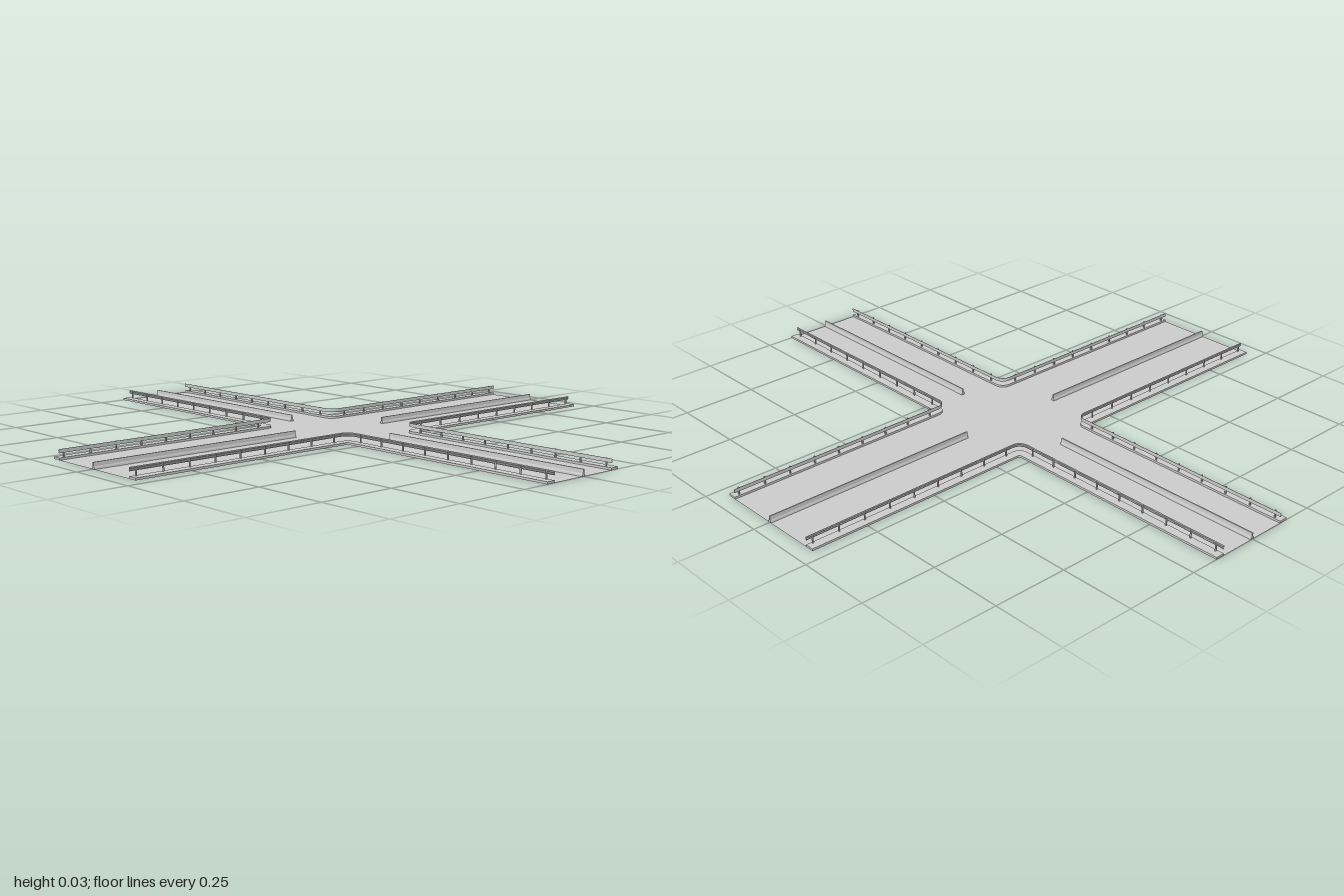
import * as THREE from 'three';

const grey = new THREE.MeshStandardMaterial({ color: 0xcccccc, side: THREE.DoubleSide, flatShading: true });
const X = 0.945, Z = 1;            // arm lengths
const HX = 0.155, HZ = 0.207;      // half widths: z arms, x arms
const KERB = 0.03, KERB_H = 0.007; // kerb width and height

function mesh(name, geometry) {
  const m = new THREE.Mesh(geometry, grey);
  m.name = name;
  return m;
}

// Path along one quadrant at a given inset from the outer edge; points are (x, z)
function edgePath(inset, r) {
  const x0 = HX - inset, z0 = HZ - inset;
  const pts = [new THREE.Vector2(X, z0)];
  for (let i = 0; i <= 6; i++) {
    const a = (i / 6) * Math.PI / 2;
    pts.push(new THREE.Vector2(x0 + r - r * Math.sin(a), z0 + r - r * Math.cos(a)));
  }
  pts.push(new THREE.Vector2(x0, Z));
  return pts;
}

// Sweeps a cross-section of [offset, y] pairs along a flat path
function sweep(path, section) {
  const pos = [], index = [], n = section.length;
  path.forEach((p, i) => {
    const a = path[Math.max(i - 1, 0)], b = path[Math.min(i + 1, path.length - 1)];
    const t = b.clone().sub(a).normalize();
    section.forEach(([o, y]) => pos.push(p.x - t.y * o, y, p.y + t.x * o));
    if (i === 0) return;
    for (let j = 0; j < n - 1; j++) {
      const k = (i - 1) * n + j;
      index.push(k, k + 1, k + n, k + 1, k + n + 1, k + n);
    }
  });
  const g = new THREE.BufferGeometry();
  g.setAttribute('position', new THREE.Float32BufferAttribute(pos, 3));
  g.setIndex(index);
  g.computeVertexNormals();
  return g;
}

// Cross-shaped road sheet
function road() {
  const s = new THREE.Shape([
    [HX, Z], [HX, HZ], [X, HZ], [X, -HZ], [HX, -HZ], [HX, -Z],
    [-HX, -Z], [-HX, -HZ], [-X, -HZ], [-X, HZ], [-HX, HZ], [-HX, Z],
  ].map(([x, z]) => new THREE.Vector2(x, z)));
  return mesh('roadSurface', new THREE.ShapeGeometry(s).rotateX(-Math.PI / 2));
}

// Kerb, guard rail and posts of one corner
function corner() {
  const g = new THREE.Group();
  g.name = 'cornerEdge';

  const outline = [...edgePath(KERB, 0.03), ...edgePath(0, 0.006).reverse()];
  const kerb = new THREE.ExtrudeGeometry(new THREE.Shape(outline), { depth: KERB_H, bevelEnabled: false });
  g.add(mesh('kerb', kerb.rotateX(Math.PI / 2).translate(0, KERB_H, 0)));

  const path = edgePath(0.028, 0.03);
  const beam = [[0.001, 0.033], [-0.001, 0.031], [-0.001, 0.029], [0.001, 0.027],
    [-0.001, 0.025], [-0.001, 0.023], [0.001, 0.021], [0.002, 0.021], [0.002, 0.033], [0.001, 0.033]];
  g.add(mesh('guardRail', sweep(path, beam)));

  const post = new THREE.BoxGeometry(0.004, 0.026, 0.004);
  const addPost = (x, z) => {
    const p = mesh('railPost', post);
    p.position.set(x, KERB_H + 0.012, z);
    g.add(p);
  };
  for (let i = 0; i < 9; i++) {
    addPost(0.19 + i * 0.092, HZ - 0.024);
    addPost(HX - 0.024, 0.24 + i * 0.092);
  }
  return g;
}

// Tapered median barrier running outwards from the junction
function median(start, end) {
  const s = new THREE.Shape([[-0.006, 0], [0.006, 0], [0.005, 0.005], [0.003, 0.009], [0.002, 0.021],
    [-0.002, 0.021], [-0.003, 0.009], [-0.005, 0.005]].map(([x, y]) => new THREE.Vector2(x, y)));
  return mesh('medianBarrier', new THREE.ExtrudeGeometry(s, { depth: end - start, bevelEnabled: false }).translate(0, 0, start));
}

export function createModel() {
  const model = new THREE.Group();
  model.name = 'crossroads';
  model.add(road());
  for (const sx of [1, -1]) for (const sz of [1, -1]) {
    const c = corner();
    c.scale.set(sx, 1, sz);
    model.add(c);
  }
  for (let i = 0; i < 4; i++) {
    const m = i % 2 ? median(0.19, X) : median(0.235, Z);
    m.rotation.y = i * Math.PI / 2;
    model.add(m);
  }
  return model;
}
